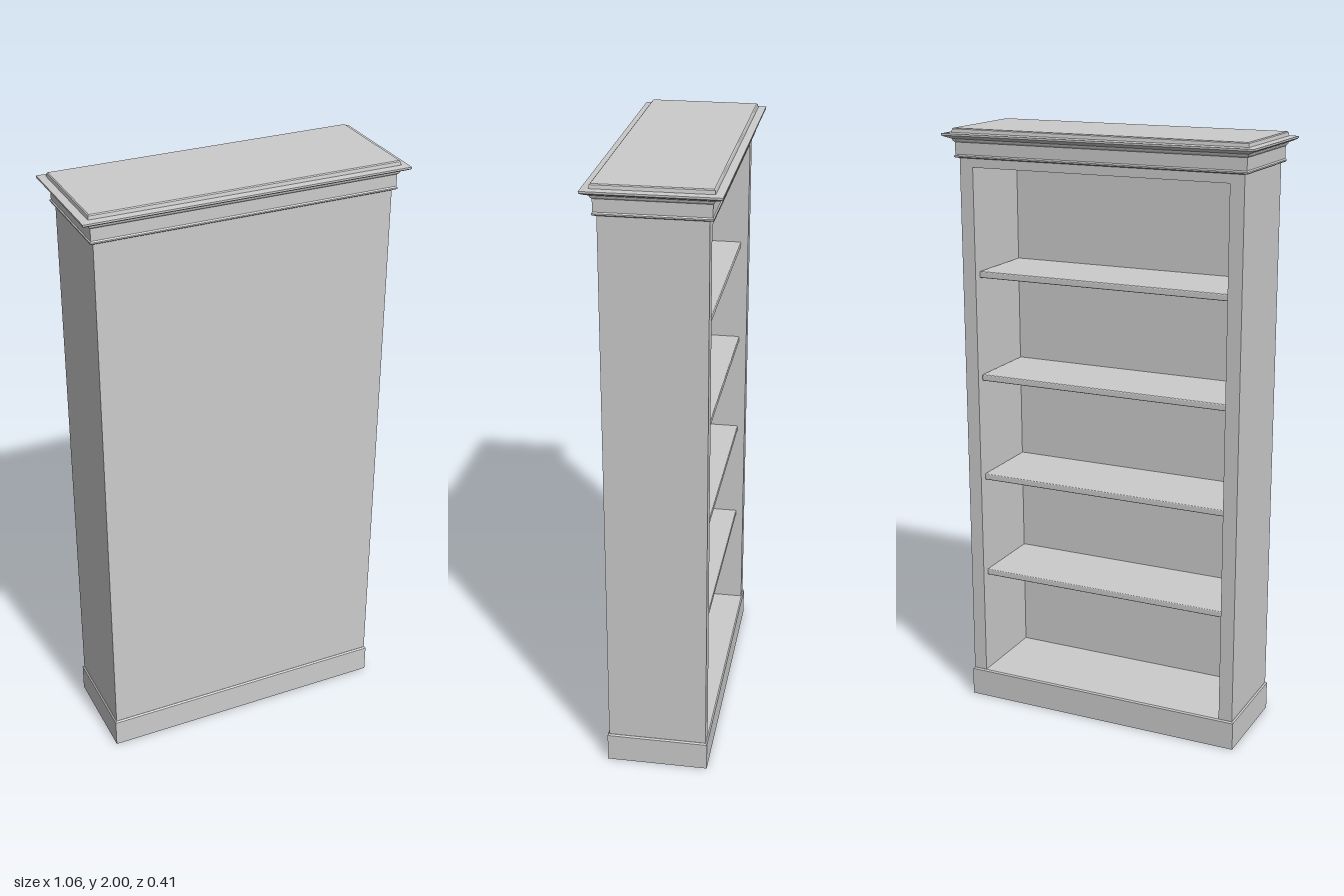
import * as THREE from 'three';
import { RoundedBoxGeometry } from 'three/addons/geometries/RoundedBoxGeometry.js';

const W = 0.49, D = 0.163;             // half width and half depth of the case
const INNER = 0.443, BACK = 0.132;     // half opening width, inside face of the back panel
const FLOOR = 0.1, CEILING = 1.875, CASE_TOP = 1.91;

const material = new THREE.MeshStandardMaterial({ color: 0xcccccc, flatShading: true });

function add(group, name, geometry, x = 0, y = 0, z = 0) {
  const mesh = new THREE.Mesh(geometry, material);
  mesh.name = name;
  mesh.position.set(x, y, z);
  group.add(mesh);
}

// Mitred moulding: a profile of [outset, height] pairs, bottom to top, swept round the case and capped.
function moulding(profile) {
  const rings = profile.map(([o, y]) => [
    [-W - o, y, D + o], [W + o, y, D + o], [W + o, y, -D - o], [-W - o, y, -D - o],
  ]);
  const pos = [];
  const quad = (a, b, c, d) => pos.push(...a, ...b, ...c, ...a, ...c, ...d);
  for (let i = 0; i < rings.length - 1; i++) {
    for (let k = 0; k < 4; k++) {
      const n = (k + 1) % 4;
      quad(rings[i][k], rings[i][n], rings[i + 1][n], rings[i + 1][k]);
    }
  }
  const [a, b, c, d] = rings[0];
  quad(d, c, b, a);
  quad(...rings[rings.length - 1]);
  const geometry = new THREE.BufferGeometry();
  geometry.setAttribute('position', new THREE.Float32BufferAttribute(pos, 3));
  geometry.computeVertexNormals();
  return geometry;
}

export function createModel() {
  const group = new THREE.Group();
  group.name = 'bookcase';

  // Plinth with a small chamfer along its top
  add(group, 'plinth', moulding([[0.005, 0], [0.005, 0.095], [0.001, FLOOR]]));

  // Sides and back panel as one U-shaped section, open toward -z
  const u = new THREE.Shape([
    [-W, -D], [W, -D], [W, D], [INNER, D],
    [INNER, -BACK], [-INNER, -BACK], [-INNER, D], [-W, D],
  ].map(([x, y]) => new THREE.Vector2(x, y)));
  const walls = new THREE.ExtrudeGeometry(u, { depth: CASE_TOP - FLOOR, bevelEnabled: false });
  walls.rotateX(-Math.PI / 2);
  add(group, 'sidesAndBack', walls, 0, FLOOR, 0);

  // Top board, flush with the open face
  const topHeight = CASE_TOP - CEILING;
  add(group, 'topBoard', new THREE.BoxGeometry(2 * INNER, topHeight, D + BACK),
    0, CEILING + topHeight / 2, (BACK - D) / 2);

  // Four shelves, set back from the open face, with eased edges
  const shelfFront = -D + 0.025;
  for (let i = 0; i < 4; i++) {
    add(group, 'shelf', new RoundedBoxGeometry(2 * INNER, 0.022, BACK - shelfFront, 2, 0.004),
      0, 0.465 + i * 0.352, (BACK + shelfFront) / 2);
  }

  // Stepped crown: frieze, cove, projecting lip and top slab
  add(group, 'crown', moulding([
    [0.009, 1.905], [0.013, 1.908], [0.013, 1.912], [0.01, 1.916],
    [0.01, 1.955], [0.015, 1.96], [0.017, 1.966], [0.024, 1.969],
    [0.034, 1.973], [0.042, 1.978], [0.042, 1.984], [0.018, 1.986],
    [0.016, 1.997], [0.013, 2.0],
  ]));

  return group;
}
